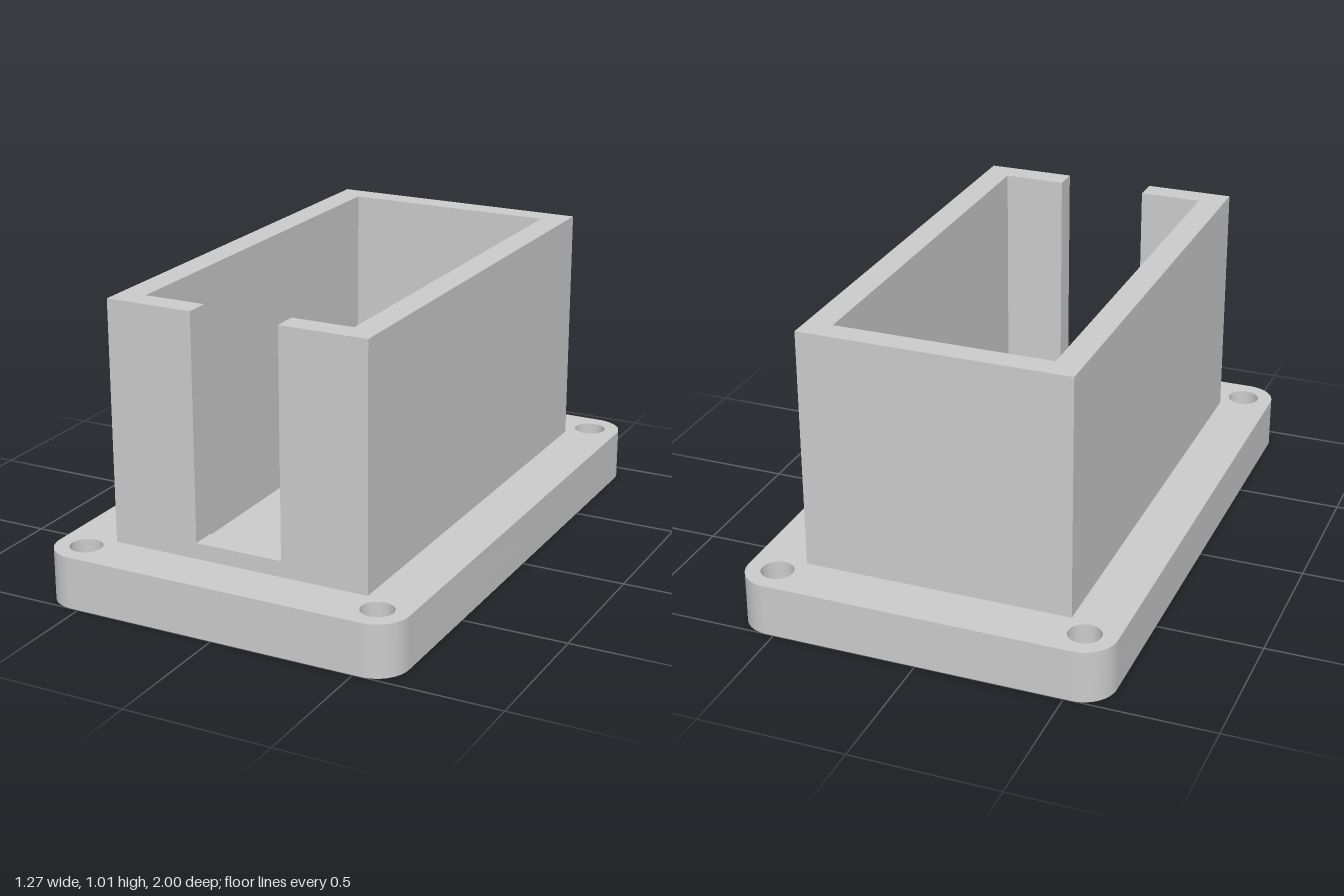
import * as THREE from 'three';
import { toCreasedNormals } from 'three/addons/utils/BufferGeometryUtils.js';

const BASE = { x: 0.637, z: 1, top: 0.18, radius: 0.11 };
const OUTER = { x: 0.46, z: 0.82 };
const INNER = { x: 0.37, z: 0.735 };
const FLOOR = 0.055, SILL = 0.235, TOP = 1.01, SLOT = 0.155;

const material = new THREE.MeshStandardMaterial({ color: 0xcccccc });

// Closed outline from [x, z] corners (z is flipped for the upright extrusion)
const outline = (points, Type = THREE.Shape) =>
  new Type(points.map(([x, z]) => new THREE.Vector2(x, -z)));

const rect = ({ x, z }) => [[-x, z], [x, z], [x, -z], [-x, -z]];

// Extrude a plan shape upward from y0 to y1
function slab(name, shape, y0, y1) {
  const geo = new THREE.ExtrudeGeometry(shape, { depth: y1 - y0, bevelEnabled: false, curveSegments: 24 });
  geo.rotateX(-Math.PI / 2).translate(0, y0, 0);
  const mesh = new THREE.Mesh(toCreasedNormals(geo, 0.5), material);
  mesh.name = name;
  return mesh;
}

// Rounded plate with a screw hole in every corner
function plateShape() {
  const { x, z, radius: r } = BASE;
  const s = new THREE.Shape();
  s.absarc(x - r, z - r, r, 0, Math.PI / 2);
  s.absarc(-x + r, z - r, r, Math.PI / 2, Math.PI);
  s.absarc(-x + r, -z + r, r, Math.PI, Math.PI * 1.5);
  s.absarc(x - r, -z + r, r, Math.PI * 1.5, Math.PI * 2);
  s.closePath();
  for (const sx of [-1, 1]) {
    for (const sz of [-1, 1]) {
      s.holes.push(new THREE.Path().absarc(sx * 0.53, sz * 0.893, 0.055, 0, Math.PI * 2, true));
    }
  }
  return s;
}

export function createModel() {
  const group = new THREE.Group();
  group.name = 'mountingBox';

  // Flange: a thin solid floor, then a ring around the cavity
  group.add(slab('floorPlate', plateShape(), 0, FLOOR));
  const flange = plateShape();
  flange.holes.push(outline(rect(INNER), THREE.Path));
  group.add(slab('flange', flange, FLOOR, BASE.top));

  // Low closed wall up to the slot's sill
  const lower = outline(rect(OUTER));
  lower.holes.push(outline(rect(INNER), THREE.Path));
  group.add(slab('lowerWall', lower, BASE.top, SILL));

  // Upper wall, open at the front slot
  const { x: ox, z: oz } = OUTER, { x: ix, z: iz } = INNER;
  const upper = outline([
    [SLOT, oz], [ox, oz], [ox, -oz], [-ox, -oz], [-ox, oz], [-SLOT, oz],
    [-SLOT, iz], [-ix, iz], [-ix, -iz], [ix, -iz], [ix, iz], [SLOT, iz],
  ]);
  group.add(slab('slottedWall', upper, SILL, TOP));

  return group;
}
